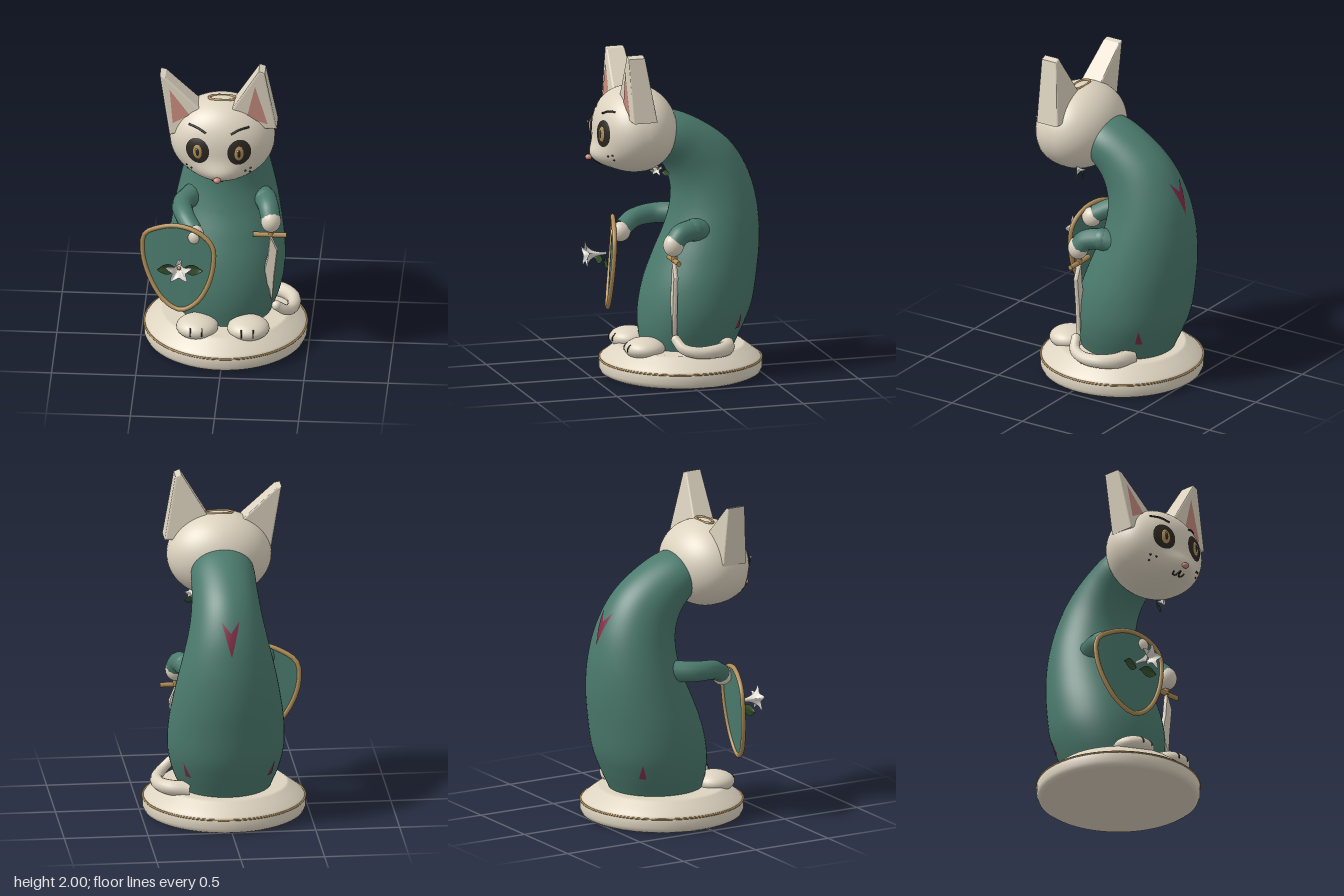
import * as THREE from 'three';
import { mergeVertices } from 'three/addons/utils/BufferGeometryUtils.js';
import { ParametricGeometry } from 'three/addons/geometries/ParametricGeometry.js';

const V = (x, y, z) => new THREE.Vector3(x, y, z);
const mat = (color, side = THREE.FrontSide) => new THREE.MeshStandardMaterial({ color, side });
const cream = mat(0xddd3c0), green = mat(0x4b7a6d), gold = mat(0xb08d57), dark = mat(0x2c2822);
const pink = mat(0xc4897c, THREE.DoubleSide), red = mat(0x7d2c46, THREE.DoubleSide);
const leafGreen = mat(0x2f4a2a, THREE.DoubleSide), white = mat(0xe4e0d8, THREE.DoubleSide);
const greenThin = mat(0x4b7a6d, THREE.DoubleSide);

// Body cross-sections: [half width, front y, front z, back y, back z]
const sections = [
  [.27, .17, .19, .17, -.37], [.32, .3, .205, .3, -.43], [.345, .42, .2, .42, -.475],
  [.345, .56, .17, .6, -.505], [.32, .72, .11, .8, -.525], [.285, .87, .045, 1, -.515],
  [.245, 1, .01, 1.2, -.465], [.212, 1.12, .005, 1.38, -.36], [.195, 1.23, .035, 1.51, -.2],
  [.185, 1.32, .1, 1.6, 0], [.14, 1.4, .2, 1.6, .15]];
const frontLine = new THREE.CatmullRomCurve3(sections.map(s => V(s[0], s[1], s[2])));
const backLine = new THREE.CatmullRomCurve3(sections.map(s => V(s[0], s[3], s[4])));

// Point on the body: a = 0 front, PI/2 left, PI back; t runs up the bend
function bodyPoint(a, t, target, grow = 1) {
  const f = frontLine.getPoint(t), b = backLine.getPoint(t), c = Math.cos(a) * grow / 2;
  return target.set((f.x + b.x) / 2 * Math.sin(a) * grow,
    (f.y + b.y) / 2 + (f.y - b.y) * c, (f.z + b.z) / 2 + (f.z - b.z) * c);
}

// Front surface of the head, with a muzzle bulge
function headZ(x, y) {
  const s = Math.max(0, 1 - (x / .312) ** 2 - ((y - 1.505) / .258) ** 2);
  const muzzle = Math.exp(-((x / .15) ** 2) - ((y - 1.35) / .075) ** 2);
  return .23 + .25 * s ** .4 + .065 * muzzle * Math.min(1, s * 3);
}

export function createModel() {
  const model = new THREE.Group();
  const add = (name, geo, material, pos, scale) => {
    const m = new THREE.Mesh(geo, material);
    m.name = name;
    if (pos) m.position.set(...pos);
    if (scale) m.scale.set(...scale);
    model.add(m);
    return m;
  };
  const ball = (name, pos, r, material) =>
    add(name, new THREE.SphereGeometry(1, 28, 20), material, pos, Array.isArray(r) ? r : [r, r, r]);
  // Tube whose radius runs from r to r * end
  const tube = (name, pts, r, material, closed = false, end = 1) => {
    const curve = new THREE.CatmullRomCurve3(pts.map(p => V(...p)), closed), n = 40;
    const geo = new THREE.TubeGeometry(curve, n, r, 12, closed), p = geo.attributes.position, v = V();
    if (end !== 1) for (let i = 0; i < p.count; i++) {
      const k = Math.floor(i / 13) / n;
      v.fromBufferAttribute(p, i).lerp(curve.getPointAt(k), k * (1 - end));
      p.setXYZ(i, v.x, v.y, v.z);
    }
    return add(name, geo, material);
  };
  const shape = pts => new THREE.Shape(pts.map(p => new THREE.Vector2(...p)));

  // Round base with gold line
  add('base', new THREE.LatheGeometry([[0, 0], [.455, 0], [.475, .012], [.485, .035], [.485, .085],
    [.47, .105], [.425, .14], [.385, .17], [.37, .18], [0, .18]].map(p => new THREE.Vector2(...p)), 64),
    cream, [0, 0, -.05]);
  add('baseTrim', new THREE.TorusGeometry(.483, .006, 8, 80), gold, [0, .09, -.05]).rotation.x = Math.PI / 2;

  // Bent body
  add('body', new ParametricGeometry((u, v, p) => bodyPoint(u * Math.PI * 2, v, p), 56, 48), green);
  add('backPatch', new ParametricGeometry((u, v, p) => {
    const k = Math.abs(2 * u - 1);
    bodyPoint(Math.PI + (u - .5) * .46 * v, .545 + v * (.07 + .035 * k), p, 1.015);
  }, 12, 10), red);
  for (const s of [-1, 1]) add('sidePatch', new ParametricGeometry((u, v, p) =>
    bodyPoint(s * (2.3 + (u - .5) * .14 * (1 - v) - v * .06), .1 + v * .08, p, 1.012), 4, 8), red);

  // Head
  const headGeo = new THREE.SphereGeometry(1, 56, 40), hp = headGeo.attributes.position;
  for (let i = 0; i < hp.count; i++) {
    const x = hp.getX(i) * .312, y = 1.505 + hp.getY(i) * .258, z = hp.getZ(i);
    hp.setXYZ(i, x, y, z > 0 ? headZ(x, y) : .23 + z * .24);
  }
  headGeo.deleteAttribute('uv');
  headGeo.deleteAttribute('normal');
  const headMerged = mergeVertices(headGeo, 1e-5);
  headMerged.computeVertexNormals();
  add('head', headMerged, cream);
  tube('headSlot', [[-.06, 1.758, .222], [.06, 1.758, .222], [.08, 1.758, .245], [.06, 1.758, .268],
    [-.06, 1.758, .268], [-.08, 1.758, .245]], .008, gold, true);

  // Ears: wedge slabs, each with a pink inner triangle
  const ears = [
    { name: 'leftEar', lean: .01, out: [[.315, 1.62], [.248, 1.98], [.228, 1.988], [.06, 1.71], [.12, 1.62]],
      inn: [[.2, 1.9], [.15, 1.685], [.275, 1.645]] },
    { name: 'rightEar', lean: -.05, out: [[-.3, 1.565], [-.16, 1.61], [-.135, 1.71], [-.342, 1.905], [-.358, 1.91]],
      inn: [[-.31, 1.84], [-.29, 1.63], [-.19, 1.685]] }];
  for (const e of ears) {
    const geo = new THREE.ExtrudeGeometry(shape(e.out),
      { depth: 1, bevelThickness: .08, bevelSize: .012, bevelSegments: 3 });
    const inner = new THREE.ShapeGeometry(shape(e.inn));
    const place = (g, flat) => {
      const p = g.attributes.position;
      for (let i = 0; i < p.count; i++) {
        const h = (p.getY(i) - 1.6) / .4, k = flat ? 1.03 : (p.getZ(i) + .08) / 1.16;
        const back = .19 + h * (e.lean + .05), front = .345 + h * e.lean;
        p.setZ(i, back + (front - back) * k);
      }
      g.computeVertexNormals();
    };
    place(geo, false);
    place(inner, true);
    add(e.name, geo, cream);
    add(e.name + 'Inner', inner, pink);
  }

  // Face: discs and strokes laid on the head surface
  const faceDisc = (name, x, y, rx, ry, off, material) =>
    add(name, new ParametricGeometry((u, v, p) => {
      const a = v * Math.PI * 2, px = x + Math.cos(a) * u * rx, py = y + Math.sin(a) * u * ry;
      p.set(px, py, headZ(px, py) + off + .008 * (1 - u * u));
    }, 8, 32), material);
  const stroke = (name, pts, r) => tube(name, pts.map(([x, y]) => [x, y, headZ(x, y) + .003]), r, dark);
  for (const [x, s] of [[-.135, -1], [.113, 1]]) {
    faceDisc('eye', x, 1.513, .07, .08, .004, dark);
    faceDisc('iris', x, 1.51, .028, .045, .01, gold);
    faceDisc('pupil', x, 1.51, .014, .03, .013, dark);
    ball('eyeGlint', [x - .007, 1.53, headZ(x, 1.53) + .022], .006, white);
    stroke('eyebrow', [[x - s * .05, 1.625], [x, 1.646], [x + s * .055, 1.652]], .006);
    for (const [dx, y] of [[.16, 1.38], [.185, 1.36], [.19, 1.39]])
      ball('whiskerDot', [s * dx - .012, y, headZ(s * dx - .012, y)], .006, dark);
  }
  ball('nose', [-.015, 1.345, .517], [.023, .017, .02], pink);
  stroke('mouth', [[-.052, 1.318], [-.045, 1.303], [-.028, 1.302], [-.015, 1.322],
    [-.002, 1.302], [.015, 1.303], [.022, 1.318]], .0045);

  // Arms and paws
  tube('rightArm', [[-.19, .92, -.1], [-.25, .915, .04], [-.225, .9, .17], [-.17, .855, .26]], .068, green, false, .8);
  tube('leftArm', [[.2, .9, -.14], [.235, .915, -.06], [.262, .9, .03], [.276, .855, .075]], .07, green, false, .85);
  ball('leftShoulder', [.235, .915, -.06], .068, green);
  ball('rightPaw', [-.16, .838, .272], [.052, .06, .06], cream);
  ball('leftPaw', [.277, .842, .08], [.06, .07, .062], cream);

  // Feet with toe lines
  for (const s of [-1, 1]) {
    const cx = s * .152;
    ball('foot', [cx, .195, .22], [.125, .065, .122], cream);
    for (const dx of [-.035, .035])
      tube('toeLine', [-.01, .01, .035].map(dy => [cx + dx, .195 + dy,
        .22 + .123 * Math.sqrt(1 - (dx / .125) ** 2 - (dy / .065) ** 2)]), .004, dark);
  }

  // Tail curled round the left side
  tube('tail', [[.22, .2, -.26], [.33, .205, -.23], [.395, .205, -.15], [.4, .205, -.03],
    [.365, .225, .045], [.31, .27, .075]], .052, cream, false, .55);
  ball('tailTip', [.31, .27, .075], .029, cream);

  // Sword held point down
  const blade = new THREE.ExtrudeGeometry(shape([[.27, .74], [.285, .73], [.318, .65], [.3, .48], [.282, .28],
    [.265, .38], [.228, .48], [.255, .6]]),
    { depth: .004, bevelThickness: .012, bevelSize: .006, bevelOffset: -.006, bevelSegments: 1 });
  add('swordBlade', blade, cream, [0, 0, .073]);
  add('swordGuard', new THREE.CylinderGeometry(.015, .015, .2, 12), gold, [.27, .747, .075]).rotation.z = Math.PI / 2;
  add('swordGrip', new THREE.CylinderGeometry(.018, .018, .08, 12), gold, [.277, .78, .075]);

  // Shield, turned slightly outward
  const shieldZ = (x, y) => .305 + .28 * (x + .26) + .06 * (.65 - y) - .3 * (x + .26) ** 2;
  const rim = [[-.265, .905], [-.38, .872], [-.465, .81], [-.475, .68], [-.425, .52], [-.34, .4], [-.245, .36],
    [-.155, .415], [-.085, .53], [-.048, .68], [-.055, .8], [-.14, .88]];
  tube('shieldRim', rim.map(([x, y]) => [x, y, shieldZ(x, y)]), .014, gold, true);
  const rimCurve = new THREE.CatmullRomCurve3(rim.map(p => V(p[0], p[1], 0)), true);
  add('shieldPanel', new ParametricGeometry((u, v, p) => {
    const q = rimCurve.getPoint(v), x = -.26 + (q.x + .26) * u * .97, y = .65 + (q.y - .65) * u * .97;
    p.set(x, y, shieldZ(x, y));
  }, 6, 48), greenThin);

  // Trumpet flower with five petals and a pair of leaves
  const flower = (name, pos, size, length, turn) => {
    const g = new THREE.Group();
    g.name = name;
    const part = (n, geo, m) => { const k = new THREE.Mesh(geo, m); k.name = n; g.add(k); };
    part('petals', new ParametricGeometry((u, v, p) => {
      const a = v * Math.PI * 2, petal = 1 - .5 * u ** 2 * Math.abs(Math.sin(2.5 * (a - Math.PI / 2)));
      const r = size * (.1 + .9 * u ** 2.2) * petal;
      p.set(Math.cos(a) * r, Math.sin(a) * r, length * (1 - (1 - u) ** 1.6));
    }, 10, 60), white);
    const heart = new THREE.SphereGeometry(size * .14, 12, 8);
    heart.translate(0, 0, length * .65);
    part('flowerHeart', heart, gold);
    for (const s of [-1, 1]) part('leaf', new ParametricGeometry((u, v, p) => {
      const w = Math.sin(Math.PI * u) * size * .42;
      p.set(s * size * (.15 + 1.45 * u), -size * .5 + (v - .5) * 2 * w, Math.abs(v - .5) * size * .2 + size * (.1 + .2 * u));
    }, 12, 4), leafGreen);
    g.position.set(...pos);
    g.rotation.y = turn;
    model.add(g);
  };
  flower('shieldFlower', [-.247, .69, .335], .085, .13, 0);
  flower('neckFlower', [.15, 1.29, .115], .048, .05, .6);

  return model;
}
